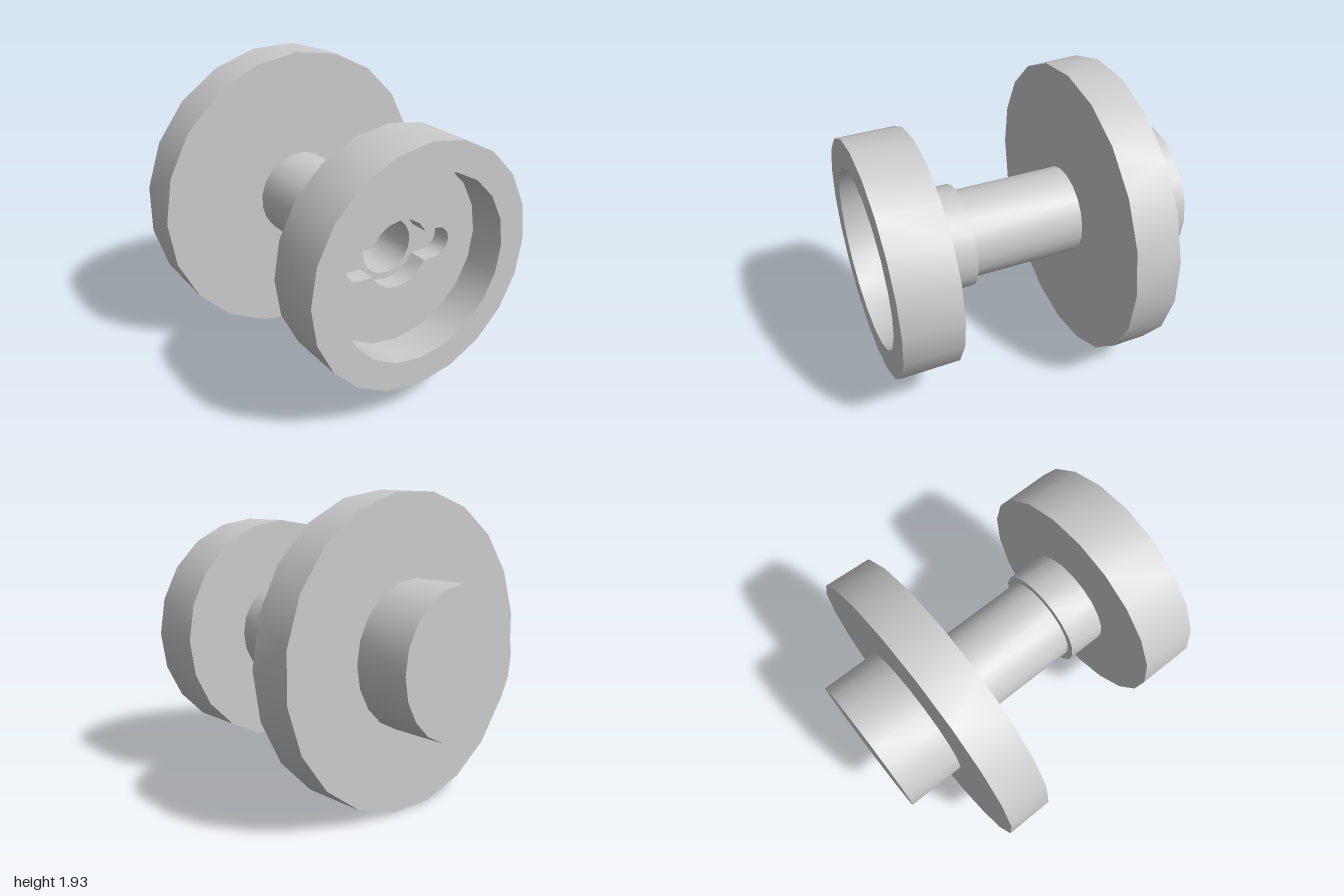
import * as THREE from 'three';
import { mergeGeometries, toCreasedNormals } from 'three/addons/utils/BufferGeometryUtils.js';

const SIDES = 20;
const AXIS_Y = 0.963;

// Ring of points, counter-clockwise; shift is a fraction of one side
function circle(radius, shift = 0) {
  return Array.from({ length: SIDES }, (_, i) => {
    const a = ((i + shift) / SIDES) * Math.PI * 2;
    return new THREE.Vector2(radius * Math.cos(a), radius * Math.sin(a));
  });
}

// Round centre with a rounded arm on each side
function keyholeOutline(radius, arm, reach) {
  const bite = Math.asin(arm / radius);
  const s = new THREE.Shape();
  s.absarc(reach - arm, 0, arm, -Math.PI / 2, Math.PI / 2);
  s.absarc(0, 0, radius, bite, Math.PI - bite);
  s.absarc(arm - reach, 0, arm, Math.PI / 2, Math.PI * 1.5);
  s.absarc(0, 0, radius, Math.PI + bite, Math.PI * 2 - bite);
  return s.getPoints(3);
}

// Side surface between a back loop and a front loop
function wall(back, zBack, front, zFront, inward = false) {
  const n = back.length;
  const pos = [];
  const index = [];
  back.forEach((p) => pos.push(p.x, p.y, zBack));
  front.forEach((p) => pos.push(p.x, p.y, zFront));
  for (let i = 0; i < n; i++) {
    const j = (i + 1) % n;
    const [a, b, c, d] = [i, j, n + j, n + i];
    index.push(...(inward ? [a, c, b, a, d, c] : [a, b, c, a, c, d]));
  }
  const g = new THREE.BufferGeometry();
  g.setAttribute('position', new THREE.Float32BufferAttribute(pos, 3));
  g.setIndex(index);
  return toCreasedNormals(g, 0.6);
}

// Flat face, optionally with an opening
function face(outline, z, { hole = null, rear = false } = {}) {
  const shape = new THREE.Shape(outline);
  if (hole) shape.holes.push(new THREE.Path(hole));
  const g = new THREE.ShapeGeometry(shape);
  if (rear) g.rotateY(Math.PI);
  g.translate(0, 0, z);
  g.deleteAttribute('uv');
  return g.toNonIndexed();
}

export function createModel() {
  const group = new THREE.Group();
  const material = new THREE.MeshStandardMaterial({ color: 0xcccccc });
  const add = (name, ...parts) => {
    const mesh = new THREE.Mesh(mergeGeometries(parts), material);
    mesh.name = name;
    mesh.position.y = AXIS_Y;
    group.add(mesh);
  };

  const cup = circle(0.758);
  const recess = circle(0.577);
  const collar = circle(0.332);
  const shaft = circle(0.285);
  const shaftBack = circle(0.285, 0.5);
  const flange = circle(0.963);
  const flangeBack = circle(0.963, 0.5);
  const hub = circle(0.455);
  const bore = circle(0.172);
  const boreBack = circle(0.172, 0.5);
  const keyhole = keyholeOutline(0.215, 0.095, 0.375);

  // Front cup with its round recess
  add('frontCup',
    wall(cup, 0.63, cup, 1),
    face(cup, 1, { hole: recess }),
    wall(recess, 0.76, recess, 1, true),
    face(recess, 0.76, { hole: keyhole }),
    face(cup, 0.63, { hole: collar, rear: true }));

  // Winged pocket sunk into the recess floor
  add('keyPocket',
    wall(keyhole, 0.64, keyhole, 0.76, true),
    face(keyhole, 0.64, { hole: bore }));

  // Blind bore down the shaft
  add('bore',
    wall(boreBack, -0.34, bore, 0.64, true),
    face(boreBack, -0.34));

  add('collar',
    wall(collar, 0.385, collar, 0.63),
    face(collar, 0.385, { hole: shaft, rear: true }));

  add('shaft', wall(shaftBack, -0.345, shaft, 0.385));

  // Wide rear flange
  add('rearFlange',
    face(flange, -0.345, { hole: shaftBack }),
    wall(flangeBack, -0.63, flange, -0.345),
    face(flangeBack, -0.63, { hole: hub, rear: true }));

  add('rearHub',
    wall(hub, -1, hub, -0.63),
    face(hub, -1, { rear: true }));

  return group;
}
